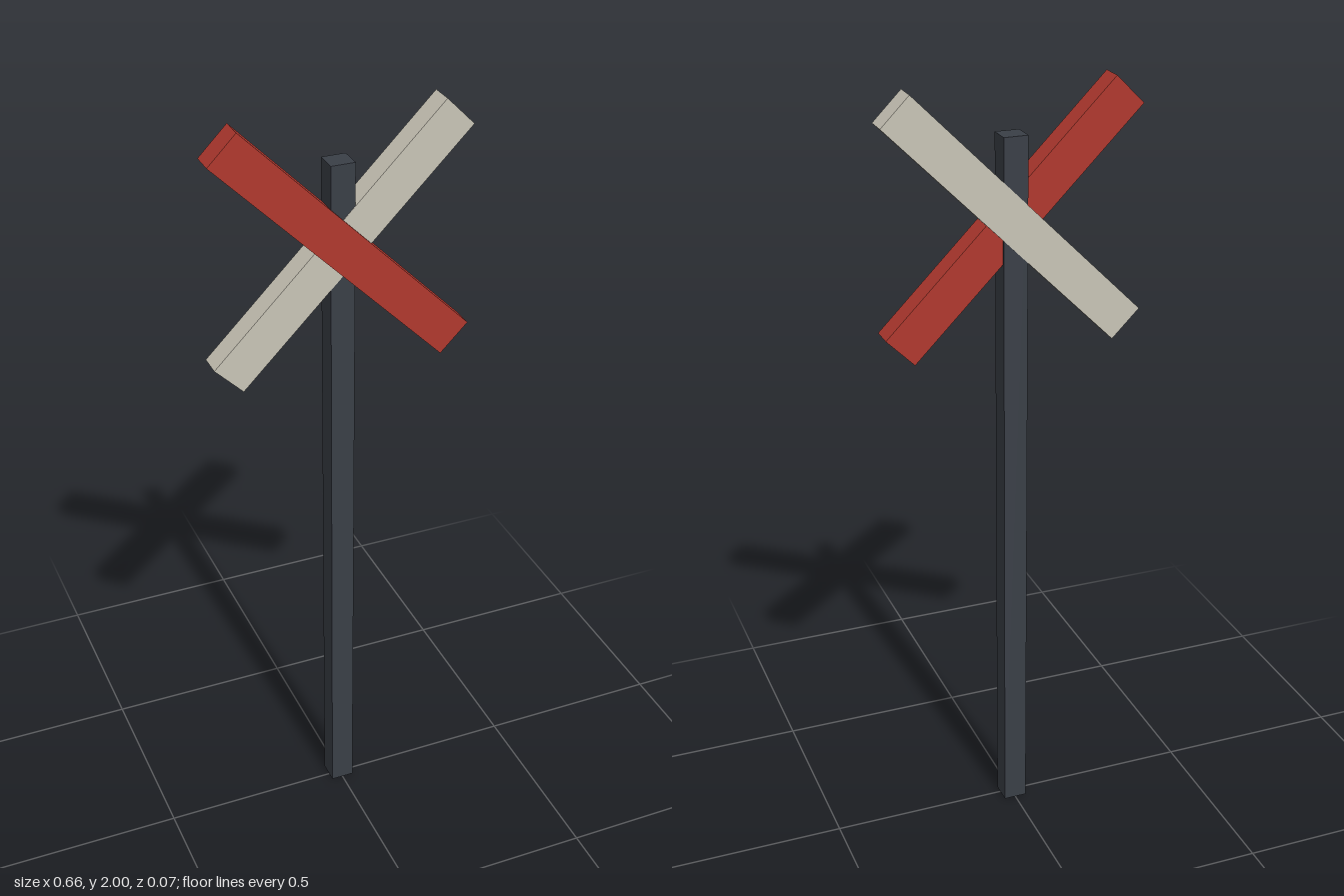
import * as THREE from 'three';

export function createModel() {
  const paint = (name, color) => {
    const m = new THREE.MeshStandardMaterial({ color });
    m.name = name;
    return m;
  };
  const charcoal = paint('charcoal', 0x3a3f47);
  const red = paint('red', 0xb0382e);
  const paleGrey = paint('pale grey', 0xc8c4b6);

  const group = new THREE.Group();
  group.name = 'crossingSign';

  const bar = (name, material, size, y, z, angle = 0) => {
    const mesh = new THREE.Mesh(new THREE.BoxGeometry(...size), material);
    mesh.name = name;
    mesh.position.set(0, y, z);
    mesh.rotation.z = angle;
    group.add(mesh);
  };

  // Upright post, a hair behind the rear board's faces so they do not flicker
  bar('post', charcoal, [0.062, 1.88, 0.06], 0.94, -0.006);

  // Two crossed boards, the red one set slightly forward
  const board = [0.834, 0.102, 0.062];
  bar('rearBoard', paleGrey, board, 1.669, -0.006, Math.PI / 4);
  bar('frontBoard', red, board, 1.669, 0.003, -Math.PI / 4);

  return group;
}
